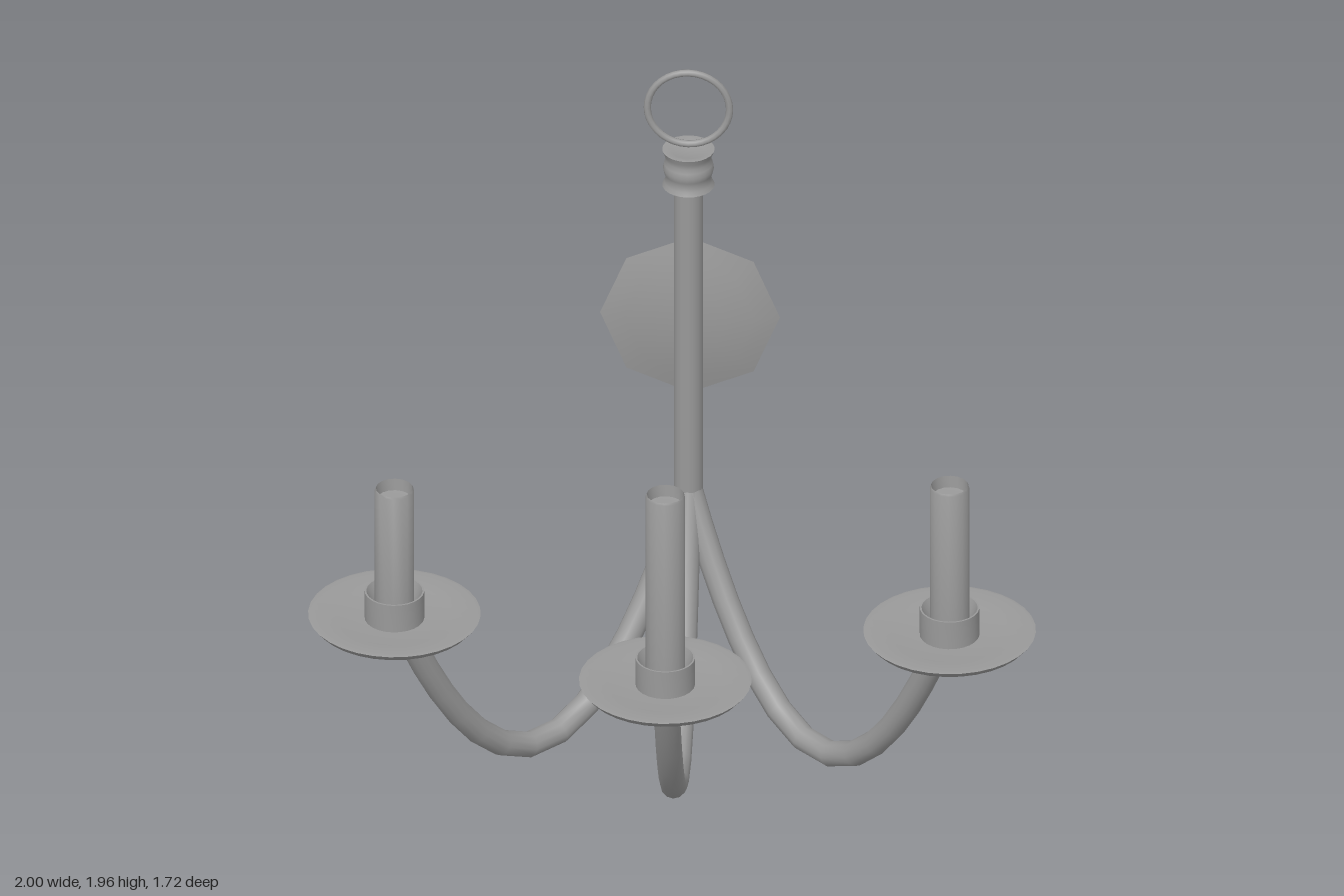
import * as THREE from 'three';
import { toCreasedNormals } from 'three/addons/utils/BufferGeometryUtils.js';

const STEM_Z = -0.45;
const material = new THREE.MeshStandardMaterial({ color: 0x999999, side: THREE.DoubleSide });

function add(parent, name, geometry) {
  const mesh = new THREE.Mesh(geometry, material);
  mesh.name = name;
  parent.add(mesh);
  return mesh;
}

// Turned part from [radius, height] pairs, listed from the bottom up
function turned(profile, segments = 24) {
  const points = profile.map(([r, y]) => new THREE.Vector2(r, y));
  return toCreasedNormals(new THREE.LatheGeometry(points, segments), 0.9);
}

// Curved arm with drip plate, cup and candle, running along local +z
function createArm(name, angle, plateReach, candleTop) {
  const arm = new THREE.Group();
  arm.name = name;
  arm.rotation.y = angle;

  const armReach = 1.06;
  const curve = new THREE.QuadraticBezierCurve3(
    new THREE.Vector3(0, 0.64, 0),
    new THREE.Vector3(0, -0.566, armReach / 2),
    new THREE.Vector3(0, 0.64, armReach));
  add(arm, 'curvedArm', new THREE.TubeGeometry(curve, 15, 0.036, 12));

  const holder = new THREE.Group();
  holder.name = 'candleHolder';
  holder.position.z = plateReach;
  arm.add(holder);
  add(holder, 'dripPlate', turned([
    [0, 0.63], [0.19, 0.63], [0.222, 0.64], [0.237, 0.658], [0.226, 0.66], [0.16, 0.65], [0.08, 0.645], [0, 0.645],
  ], 32));
  add(holder, 'candleCup', turned([
    [0.082, 0.645], [0.082, 0.73], [0.077, 0.73], [0.055, 0.68],
  ]));
  add(holder, 'candle', turned([
    [0.054, 0.65], [0.054, candleTop - 0.006], [0.051, candleTop],
    [0.048, candleTop - 0.035], [0, candleTop - 0.038],
  ], 16));
  return arm;
}

export function createModel() {
  const model = new THREE.Group();
  model.name = 'candleFixture';
  const body = new THREE.Group();
  body.name = 'body';
  body.position.z = STEM_Z;
  model.add(body);

  // Central stem, turned collar and hanging ring
  const stem = new THREE.CylinderGeometry(0.04, 0.04, 0.99, 16);
  add(body, 'stem', stem).position.y = 1.115;
  add(body, 'collar', turned([
    [0, 1.6], [0.072, 1.6], [0.066, 1.612], [0.062, 1.628], [0.067, 1.64], [0.07, 1.655],
    [0.067, 1.67], [0.062, 1.682], [0.066, 1.698], [0.072, 1.713], [0.064, 1.714], [0.045, 1.708], [0, 1.706],
  ]));
  add(body, 'hangingRing', new THREE.TorusGeometry(0.113, 0.01, 8, 36)).position.y = 1.842;

  // Three arms fanned around the stem
  body.add(createArm('frontArm', 0, 1.074, 1.25));
  body.add(createArm('leftArm', Math.PI / 4, 1.078, 1.12));
  body.add(createArm('rightArm', -Math.PI / 4, 1.078, 1.057));

  // Octagonal wall plate, domed to the front and flat at the back
  const plate = turned([[0, 0], [0.247, 0], [0.18, 0.016], [0.1, 0.028], [0, 0.033]], 8);
  plate.rotateX(Math.PI / 2);
  add(model, 'wallPlate', plate).position.set(0, 1.14, -0.523);

  // Oval bracket drooping backwards, its sections kept upright
  const zFront = -0.51, zBack = -0.86;
  const bracket = new THREE.CylinderGeometry(1, 1, zFront - zBack, 16, 4);
  bracket.rotateX(Math.PI / 2);
  bracket.scale(0.037, 0.075, 1);
  bracket.translate(0, 0, (zFront + zBack) / 2);
  const pos = bracket.attributes.position;
  for (let i = 0; i < pos.count; i++) {
    const t = (zFront - pos.getZ(i)) / (zFront - zBack);
    pos.setY(i, pos.getY(i) + 1.15 - 0.21 * t * t);
  }
  add(model, 'wallBracket', toCreasedNormals(bracket, 0.8));

  return model;
}
